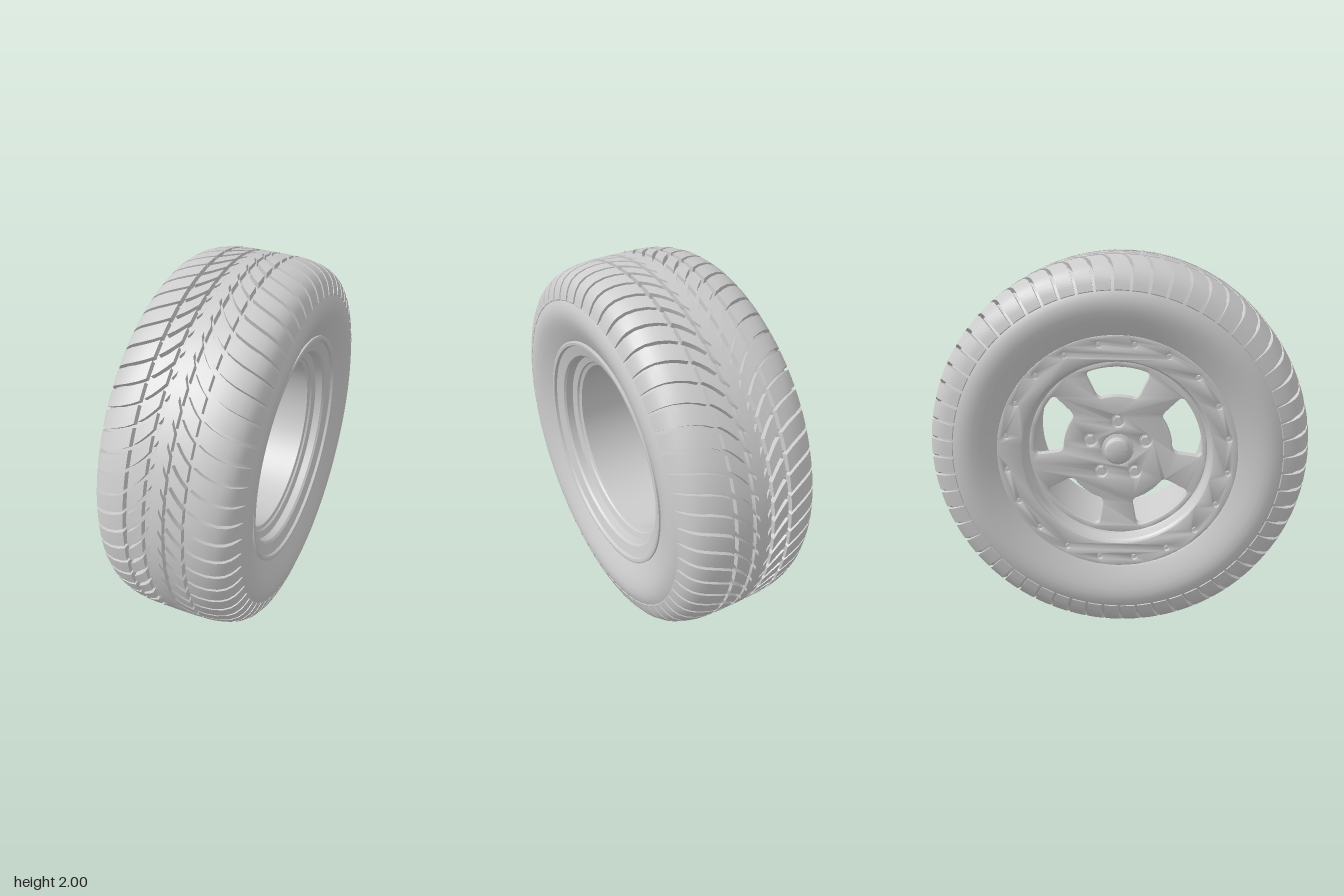
import * as THREE from 'three';
import { toCreasedNormals, mergeVertices } from 'three/addons/utils/BufferGeometryUtils.js';

const material = new THREE.MeshStandardMaterial({ color: 0xcccccc, side: THREE.DoubleSide });
const PITCHES = 60, STEP = Math.PI * 2 / PITCHES;

function add(parent, name, geometry, crease = 0.6) {
  const mesh = new THREE.Mesh(toCreasedNormals(geometry, crease), material);
  mesh.name = name;
  parent.add(mesh);
  return mesh;
}

// Surface of revolution around x from [x, radius] points
function revolve(points, segments = 96) {
  return new THREE.LatheGeometry(points.map(([x, r]) => new THREE.Vector2(r, x)), segments).rotateZ(-Math.PI / 2);
}

// Flat shape extruded from x = from towards -x
function plate(shape, from, depth, bevel) {
  return new THREE.ExtrudeGeometry(shape, {
    depth: depth - 2 * bevel, bevelEnabled: bevel > 0, bevelSize: bevel, bevelOffset: -bevel,
    bevelThickness: bevel, bevelSegments: 2, curveSegments: 36,
  }).rotateY(-Math.PI / 2).translate(from - bevel, 0, 0);
}

const polar = (r, a) => [r * Math.cos(a), r * Math.sin(a)];

function circlePath(r, [u, v] = [0, 0], Type = THREE.Path) {
  return new Type().absarc(u, v, r, 0, Math.PI * 2, false);
}

// Rows of curved tread blocks; each block follows the swept groove line
function treadRow(profile, side, gap) {
  const pts = profile.map(([x, r]) => [x * side, r]);
  if (side < 0) pts.reverse();
  const sweep = x => 0.3 * (1 - Math.exp(-Math.abs(x) / 0.12));
  const positions = [], index = [];
  for (let k = 0; k < PITCHES; k++) {
    const base = positions.length / 3;
    for (const [x, r] of pts) {
      const a = k * STEP - sweep(x), b = a + STEP - gap;
      const low = [x * (1 - 0.5 * x * x), r - 0.036];
      const ring = [[...low, a], [x, r, a], [x, r, (a + b) / 2], [x, r, b], [...low, b]];
      for (const [px, pr, t] of ring) positions.push(px, pr * Math.sin(t), pr * Math.cos(t));
    }
    const last = base + (pts.length - 1) * 5;
    for (let i = base; i < last; i += 5)
      for (let j = i; j < i + 4; j++) index.push(j, j + 5, j + 6, j, j + 6, j + 1);
    for (let j = 1; j < 4; j++) {
      index.push(base, base + j, base + j + 1);
      index.push(last, last + j + 1, last + j);
    }
  }
  const geometry = new THREE.BufferGeometry();
  geometry.setAttribute('position', new THREE.Float32BufferAttribute(positions, 3));
  geometry.setIndex(index);
  return geometry;
}

function buildTire(parent) {
  const tire = new THREE.Group();
  tire.name = 'tire';
  parent.add(tire);

  // Carcass: sidewalls and groove floor
  const half = [[0.30, 0.59], [0.325, 0.605], [0.338, 0.63], [0.352, 0.66], [0.37, 0.7], [0.383, 0.74],
    [0.388, 0.775], [0.384, 0.805], [0.374, 0.835], [0.358, 0.86], [0.335, 0.9], [0.29, 0.94], [0.2, 0.962], [0.1, 0.968]];
  const mirrored = half.map(([x, r]) => [-x, r]);
  add(tire, 'carcass', revolve([...mirrored, ...half.slice().reverse()], 120), 0.7);

  // Continuous centre rib with notched edges
  add(tire, 'centreRib', revolve([[-0.022, 0.96], [-0.022, 1], [0.022, 1], [0.022, 0.96]], 120));
  const ribEdge = [[0.02, 1], [0.042, 1]];
  const middle = [[0.06, 1], [0.085, 1], [0.112, 0.999], [0.14, 0.998]];
  const shoulder = [[0.16, 0.997], [0.2, 0.993], [0.25, 0.982], [0.295, 0.964], [0.328, 0.94],
    [0.35, 0.91], [0.363, 0.88], [0.373, 0.845]];
  for (const side of [-1, 1]) {
    add(tire, 'ribEdgeBlocks', treadRow(ribEdge, side, 0.025));
    add(tire, 'middleBlocks', treadRow(middle, side, 0.03));
    add(tire, 'shoulderBlocks', treadRow(shoulder, side, 0.018), 0.7);
  }
}

// Rounded window opening pointing along angle c
function windowPath(c) {
  const path = new THREE.Path();
  path.moveTo(...polar(0.325, c + 0.38));
  path.lineTo(...polar(0.41, c + 0.395));
  path.quadraticCurveTo(...polar(0.438, c + 0.4), ...polar(0.44, c + 0.34));
  path.absarc(0, 0, 0.44, c + 0.34, c - 0.34, true);
  path.quadraticCurveTo(...polar(0.438, c - 0.4), ...polar(0.41, c - 0.395));
  path.lineTo(...polar(0.325, c - 0.38));
  path.quadraticCurveTo(...polar(0.292, c - 0.37), ...polar(0.286, c - 0.29));
  path.absarc(0, 0, 0.286, c - 0.29, c + 0.29, false);
  path.quadraticCurveTo(...polar(0.292, c + 0.37), ...polar(0.325, c + 0.38));
  return path;
}

function buildRim(parent) {
  const rim = new THREE.Group();
  rim.name = 'rim';
  parent.add(rim);

  // Barrel, open towards +x, with stepped lips
  add(rim, 'barrel', revolve([[-0.315, 0.61], [0.325, 0.61], [0.328, 0.62], [0.342, 0.62], [0.345, 0.612],
    [0.343, 0.597], [0.328, 0.592], [0.312, 0.535], [0.3, 0.525], [0.262, 0.52], [0.25, 0.485], [0.24, 0.48],
    [0.232, 0.462], [-0.235, 0.462], [-0.245, 0.475], [-0.295, 0.485], [-0.312, 0.5], [-0.315, 0.61]]), 0.4);

  // Outer clamp ring with bolts set in its holes
  const ring = circlePath(0.62, [0, 0], THREE.Shape);
  ring.holes.push(circlePath(0.492));
  const bolts = 20;
  for (let i = 0; i < bolts; i++) {
    const centre = polar(0.578, (i + 0.5) * Math.PI * 2 / bolts);
    ring.holes.push(circlePath(0.016, centre));
    const bolt = add(rim, 'ringBolt', new THREE.CylinderGeometry(0.011, 0.011, 0.014, 6).rotateZ(Math.PI / 2));
    bolt.position.set(-0.32, centre[1], centre[0]);
  }
  add(rim, 'clampRing', plate(ring, -0.31, 0.025, 0.003));

  // Wheel disc with five windows and five lug holes
  const disc = circlePath(0.47, [0, 0], THREE.Shape);
  disc.holes.push(circlePath(0.083));
  for (let i = 0; i < 5; i++) {
    const angle = Math.PI / 2 + i * Math.PI * 2 / 5;
    const centre = polar(0.152, angle);
    disc.holes.push(windowPath(angle), circlePath(0.035, centre));
    const nut = add(rim, 'lugNut', new THREE.CylinderGeometry(0.024, 0.024, 0.04, 6).rotateZ(Math.PI / 2));
    nut.position.set(-0.223, centre[1], centre[0]);
    const seat = add(rim, 'lugSeat', new THREE.CylinderGeometry(0.036, 0.036, 0.01, 24).rotateZ(Math.PI / 2));
    seat.position.set(-0.2, centre[1], centre[0]);
  }
  add(rim, 'disc', plate(disc, -0.185, 0.055, 0.006));

  // Hollow hub cap, closed on the outside
  add(rim, 'hubCap', revolve([[-0.29, 0], [-0.29, 0.05], [-0.285, 0.06], [-0.275, 0.066], [-0.245, 0.068],
    [-0.24, 0.084], [-0.19, 0.084], [-0.19, 0.076], [-0.265, 0.06], [-0.27, 0]], 40), 0.5);
}

export function createModel() {
  const wheel = new THREE.Group();
  wheel.name = 'wheel';
  buildTire(wheel);
  buildRim(wheel);
  wheel.position.y = 1;
  const model = new THREE.Group();
  model.name = 'offRoadWheel';
  model.add(wheel);
  return model;
}
